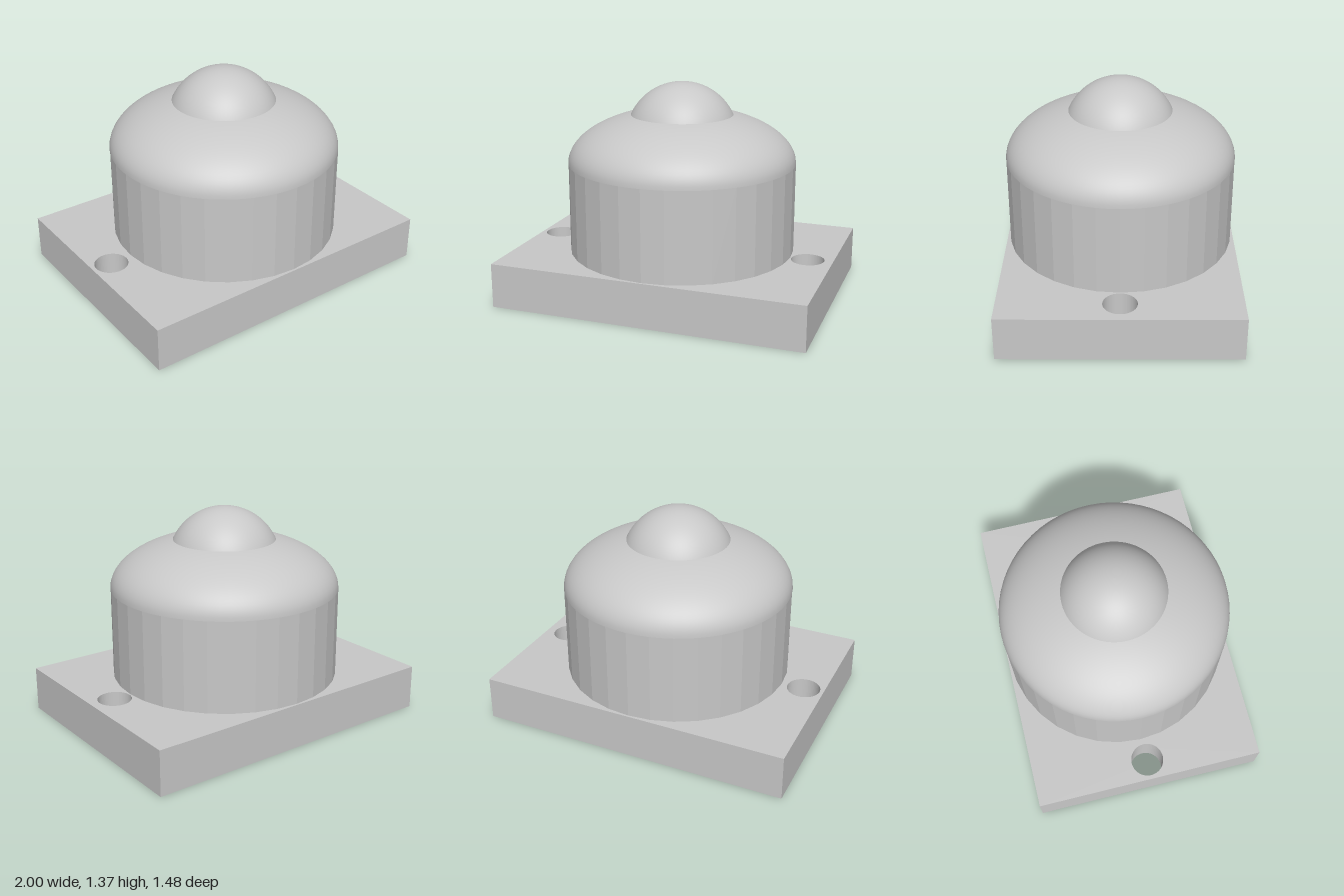
import * as THREE from 'three';

export function createModel() {
  const model = new THREE.Group();
  const grey = new THREE.MeshStandardMaterial({ color: 0xc8c8c8 });
  grey.name = 'light grey';
  const facetedGrey = grey.clone();
  facetedGrey.flatShading = true;
  facetedGrey.name = 'light grey faceted';

  const add = (name, geometry, material = grey) => {
    const mesh = new THREE.Mesh(geometry, material);
    mesh.name = name;
    model.add(mesh);
    return mesh;
  };

  // Rectangular base plate with two through holes
  const plate = new THREE.Shape();
  plate.moveTo(-1, -0.74).lineTo(1, -0.74).lineTo(1, 0.74).lineTo(-1, 0.74).closePath();
  for (const [x, z] of [[-0.87, 0.01], [0.84, 0]]) {
    const hole = new THREE.Path();
    hole.absarc(x, -z, 0.105, 0, Math.PI * 2, true);
    plate.holes.push(hole);
  }
  const base = new THREE.ExtrudeGeometry(plate, { depth: 0.285, bevelEnabled: false, curveSegments: 32 });
  base.rotateX(-Math.PI / 2);
  add('basePlate', base);

  // Faceted upright body
  const body = new THREE.CylinderGeometry(0.727, 0.727, 0.577, 32, 1, true);
  add('body', body, facetedGrey).position.y = 0.2835 + 0.577 / 2;

  // Arc of an ellipse as a lathe profile, from angle a0 up to a1
  const arc = (rx, ry, cy, a0, a1, n) => Array.from({ length: n + 1 }, (_, i) => {
    const a = a0 + (a1 - a0) * i / n;
    return new THREE.Vector2(Math.max(0, rx * Math.cos(a)), cy + ry * Math.sin(a));
  });

  // Flattened shoulder dome
  add('shoulderDome', new THREE.LatheGeometry(arc(0.727, 0.34, 0.86, 0, Math.PI / 2, 24), 64));

  // Small ball rising from the dome
  add('ball', new THREE.LatheGeometry(arc(0.36, 0.36, 1.01, 0.35, Math.PI / 2, 20), 64));

  return model;
}
